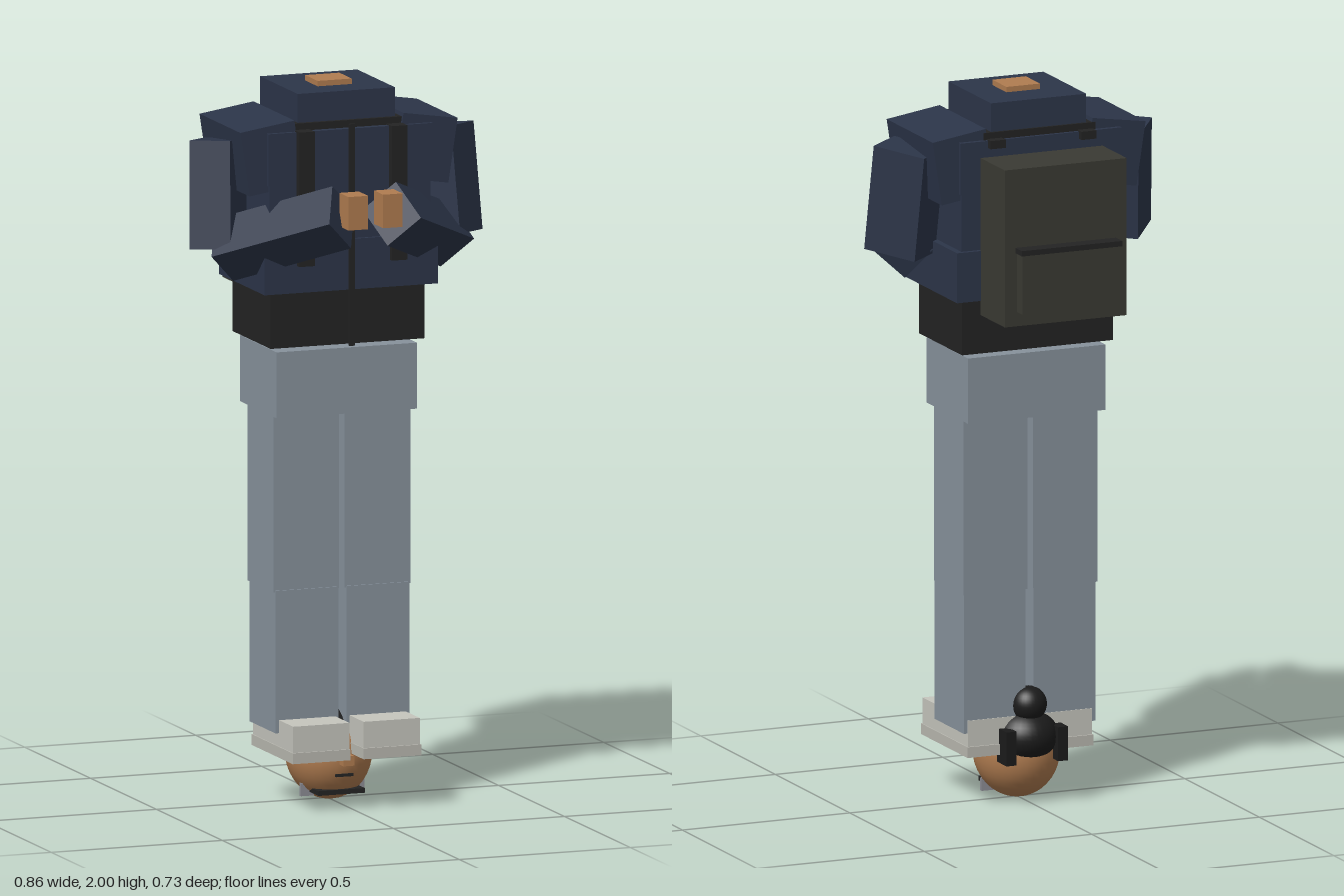
import * as THREE from 'three';

const mat = (name, color) => {
  const m = new THREE.MeshStandardMaterial({ color });
  m.name = name;
  return m;
};

export function createModel() {
  const root = new THREE.Group();
  root.name = 'standingFigure';
  const navy = mat('navy jacket', 0x2c3549);
  const black = mat('black trim', 0x232323);
  const olive = mat('olive canvas', 0x3a3a33);
  const denim = mat('grey blue denim', 0x87929c);
  const skin = mat('skin', 0xb07c50);
  const shoe = mat('off white shoe', 0xc5c5bd);
  const sole = mat('shoe sole', 0xb9b8b0);
  const hair = mat('hair', 0x1b1b1b);
  const grey = mat('grey', 0x8c8c94);

  const add = (name, geo, material) => {
    const m = new THREE.Mesh(geo, material);
    m.name = name;
    root.add(m);
    return m;
  };
  // Box given by its lower and upper limits on each axis
  const box = (name, material, x0, x1, y0, y1, z0, z1) => {
    const m = add(name, new THREE.BoxGeometry(x1 - x0, y1 - y0, z1 - z0), material);
    m.position.set((x0 + x1) / 2, (y0 + y1) / 2, (z0 + z1) / 2);
    return m;
  };
  // Box centred on x = 0
  const mid = (name, material, hx, y0, y1, z0, z1) => box(name, material, -hx, hx, y0, y1, z0, z1);
  // Mirrored pair of boxes
  const pair = (name, material, x0, x1, ...rest) => {
    box('left' + name, material, x0, x1, ...rest);
    box('right' + name, material, -x1, -x0, ...rest);
  };
  // Mirrored pair of turned boxes, given by centre and three edge vectors
  const limb = (name, material, c, a, b, d) => {
    for (const s of [1, -1]) {
      const v = [a, b, d].map((e) => new THREE.Vector3(e[0] * s, e[1], e[2]));
      const size = v.map((e) => e.length());
      v.forEach((e) => e.normalize());
      v[2].crossVectors(v[0], v[1]);
      v[1].crossVectors(v[2], v[0]);
      const m = add((s > 0 ? 'left' : 'right') + name, new THREE.BoxGeometry(...size), material);
      m.quaternion.setFromRotationMatrix(new THREE.Matrix4().makeBasis(...v));
      m.position.set(c[0] * s, c[1], c[2]);
    }
  };
  const ball = (name, material, pos, radii, cap = Math.PI) => {
    const m = add(name, new THREE.SphereGeometry(1, 32, 20, 0, Math.PI * 2, 0, cap), material);
    m.position.set(...pos);
    m.scale.set(...radii);
    return m;
  };

  // Neck, collar and stacked torso
  mid('neck', skin, 0.05, 1.9, 2, -0.04, 0.055);
  mid('collar', navy, 0.142, 1.9, 1.985, -0.143, 0.143);
  mid('collarRim', black, 0.167, 1.875, 1.905, -0.15, 0.155);
  mid('chest', navy, 0.24, 1.74, 1.885, -0.16, 0.175);
  mid('midriff', navy, 0.235, 1.58, 1.74, -0.153, 0.17);
  mid('lowerJacket', navy, 0.253, 1.44, 1.58, -0.165, 0.18);
  mid('jacketHem', black, 0.225, 1.285, 1.442, -0.135, 0.153);
  mid('zipper', black, 0.008, 1.285, 1.9, 0.181, 0.189);

  // Shoulders and bent arms
  limb('Shoulder', navy, [0.225, 1.815, 0.008], [0.158, -0.024, 0], [0.027, 0.178, 0], [0, 0, 0.31]);
  limb('UpperArm', navy, [0.328, 1.7, 0.02], [0.095, 0.019, 0.125], [-0.013, 0.295, -0.035], [-0.092, 0.004, 0.07]);
  limb('Forearm', navy, [0.198, 1.607, 0.175], [-0.25, 0.116, 0.245], [-0.045, 0.09, -0.08], [-0.08, -0.08, -0.045]);
  pair('Hand', skin, 0.022, 0.079, 1.64, 1.733, 0.296, 0.365);

  // Backpack and straps
  mid('backpack', olive, 0.182, 1.4, 1.84, -0.325, -0.163);
  mid('backpackPocket', olive, 0.145, 1.44, 1.61, -0.36, -0.324);
  mid('pocketFlap', black, 0.15, 1.605, 1.62, -0.368, -0.324);
  pair('FrontStrap', black, 0.113, 0.158, 1.515, 1.87, 0.174, 0.197);
  pair('TopStrap', black, 0.113, 0.158, 1.865, 1.888, -0.177, 0.197);

  // Trousers
  mid('hips', denim, 0.205, 1.09, 1.273, -0.13, 0.147);
  pair('Thigh', denim, 0.008, 0.2, 0.6, 1.09, -0.088, 0.11);
  pair('Shin', denim, 0.012, 0.196, 0.21, 0.605, -0.083, 0.114);

  // Shoes
  pair('Shoe', shoe, 0.021, 0.185, 0.172, 0.246, -0.085, 0.22);
  pair('Sole', sole, 0.019, 0.188, 0.143, 0.173, -0.09, 0.225);

  // Head between the feet, with hair gathered at the back
  ball('head', skin, [0, 0.13, 0.007], [0.118, 0.13, 0.128]);
  ball('hairCap', hair, [0, 0.13, 0.005], [0.121, 0.134, 0.131], 0.87);
  ball('backHair', hair, [0, 0.185, -0.052], [0.09, 0.075, 0.093]);
  ball('hairBun', hair, [0, 0.275, -0.076], [0.05, 0.05, 0.05]);
  pair('SideHair', hair, 0.062, 0.092, 0.12, 0.215, -0.135, -0.05);

  // Face
  mid('nose', skin, 0.016, 0.115, 0.142, 0.12, 0.163);
  mid('mouth', black, 0.025, 0.08, 0.088, 0.115, 0.131);
  mid('brow', black, 0.068, 0.027, 0.04, 0.035, 0.108);
  pair('Cheek', grey, 0.055, 0.093, 0.016, 0.052, 0.03, 0.04);
  return root;
}
